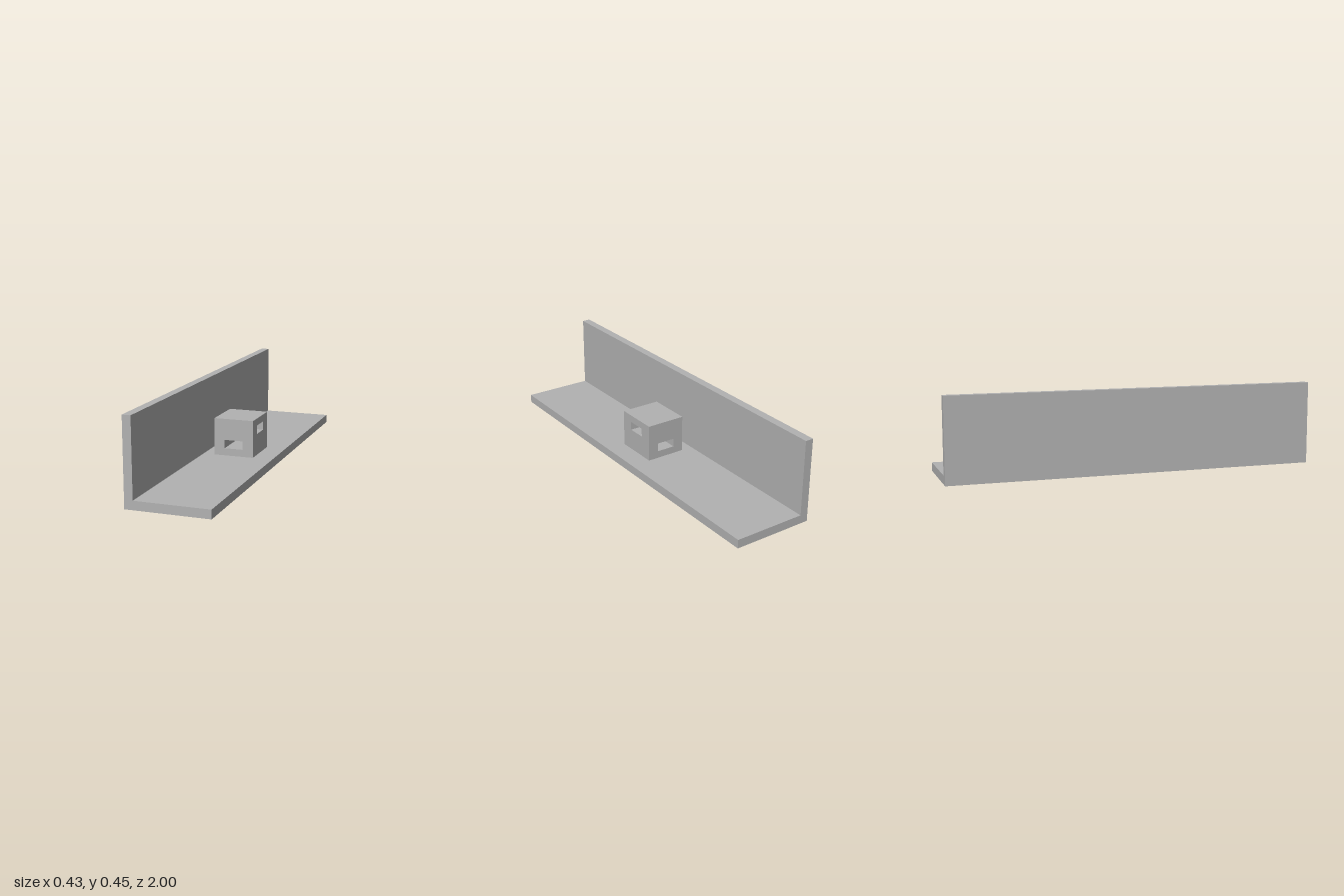
import * as THREE from 'three';

const metal = new THREE.MeshStandardMaterial({ color: 0xb2b2b2 });
metal.name = 'grey metal';

// Closed polygon through a short list of [x, y] points
const outline = (points, Type = THREE.Shape) =>
  new Type(points.map(([x, y]) => new THREE.Vector2(x, y)));

const rectangle = (halfWidth, y0, y1, Type) =>
  outline([[-halfWidth, y0], [halfWidth, y0], [halfWidth, y1], [-halfWidth, y1]], Type);

// Extrusion centred on z = 0
function extrude(name, shape, depth) {
  const geometry = new THREE.ExtrudeGeometry(shape, { depth, bevelEnabled: false });
  geometry.translate(0, 0, -depth / 2);
  const mesh = new THREE.Mesh(geometry, metal);
  mesh.name = name;
  return mesh;
}

export function createModel() {
  const model = new THREE.Group();
  model.name = 'angleBracketWithBlock';

  const thickness = 0.046, halfWidth = 0.215, wallTop = 0.446;
  const blockTop = 0.246, blockMiddle = 0.146;
  const blockX = 0.108, blockZ = 0.12, slotHalf = 0.051;

  // Long L-shaped rail
  const inner = -halfWidth + thickness - 0.002;
  model.add(extrude('angleRail', outline([
    [-halfWidth, 0], [halfWidth, 0], [halfWidth, thickness],
    [inner, thickness], [inner, wallTop], [-halfWidth, wallTop],
  ]), 2));

  // Block, in two layers whose slots cross at different heights
  const block = new THREE.Group();
  block.name = 'slottedBlock';

  const lowerShape = rectangle(blockX, thickness, blockMiddle);
  lowerShape.holes.push(rectangle(slotHalf, 0.085, 0.131, THREE.Path));
  block.add(extrude('lowerBlock', lowerShape, blockZ * 2));

  const upperShape = rectangle(blockZ, blockMiddle, blockTop);
  upperShape.holes.push(rectangle(slotHalf, 0.161, 0.207, THREE.Path));
  const upper = extrude('upperBlock', upperShape, blockX * 2);
  upper.rotation.y = Math.PI / 2;
  block.add(upper);

  model.add(block);
  return model;
}
